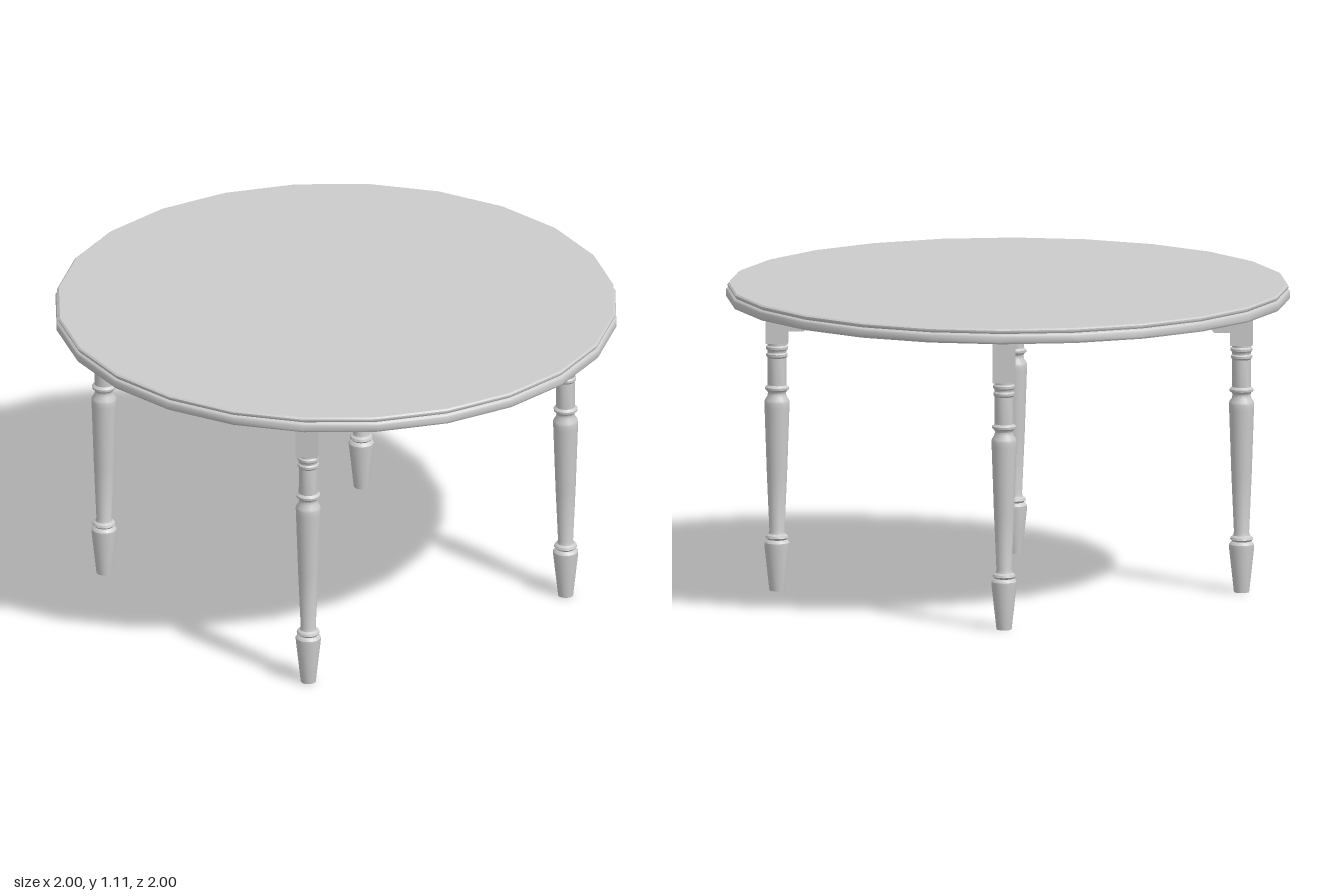
import * as THREE from 'three';
import { toCreasedNormals } from 'three/addons/utils/BufferGeometryUtils.js';

const material = new THREE.MeshStandardMaterial({ color: 0xcccccc });

function mesh(name, geometry) {
  const m = new THREE.Mesh(geometry, material);
  m.name = name;
  return m;
}

// Turned part from [radius, height] pairs, bottom to top
function turned(name, profile, sides) {
  const points = profile.map(([r, y]) => new THREE.Vector2(r, y));
  return mesh(name, toCreasedNormals(new THREE.LatheGeometry(points, sides), 0.6));
}

const TOP_Y = 1.052;      // underside of the table top
const LEG_RADIUS = 0.823; // distance of each leg from the centre
const BLOCK = 0.08;       // square block at the head of the leg
const RAIL = 0.072;       // rail thickness
const RAIL_Y = 1.008;     // underside of the rails

const legProfile = [
  [0, 0], [0.027, 0], [0.045, 0.163], [0.045, 0.172], [0.039, 0.18],
  [0.034, 0.183], [0.041, 0.19], [0.039, 0.198], [0.03, 0.204], [0.027, 0.215],
  [0.036, 0.42], [0.044, 0.655], [0.045, 0.675], [0.043, 0.685],
  [0.034, 0.698], [0.032, 0.71], [0.035, 0.717], [0.042, 0.722], [0.043, 0.73],
  [0.034, 0.738], [0.033, 0.836], [0.038, 0.842], [0.038, 0.85], [0.033, 0.855],
  [0.034, 0.862], [0.039, 0.868], [0.039, 0.876], [0.034, 0.881], [0.034, 0.892],
];

// Rail with a chamfered bracket where it meets the leg block
function rail() {
  const end = LEG_RADIUS - BLOCK / 2;
  const shape = new THREE.Shape([
    [RAIL / 2, TOP_Y], [RAIL / 2, RAIL_Y], [0.655, RAIL_Y], [0.68, 0.995],
    [0.727, 0.935], [end, 0.935], [end, TOP_Y],
  ].map(([r, y]) => new THREE.Vector2(r, y)));
  const geometry = new THREE.ExtrudeGeometry(shape, { depth: RAIL, bevelEnabled: false });
  return mesh('rail', geometry.translate(0, 0, -RAIL / 2));
}

export function createModel() {
  const table = new THREE.Group();
  table.name = 'roundTable';

  // Top with a stepped edge
  table.add(turned('tableTop', [
    [0, TOP_Y], [0.996, TOP_Y], [1, 1.058], [1, 1.078], [0.997, 1.084],
    [0.99, 1.088], [0.994, 1.094], [0.994, 1.1], [0.988, 1.105], [0, 1.105],
  ], 24));

  // Crossed underframe, turned 30 degrees
  const frame = new THREE.Group();
  frame.name = 'underframe';
  frame.position.set(-0.004, 0, 0.002);
  frame.rotation.y = Math.PI / 6;
  table.add(frame);

  const hub = mesh('railCrossing', new THREE.BoxGeometry(RAIL, TOP_Y - RAIL_Y, RAIL));
  hub.position.y = (TOP_Y + RAIL_Y) / 2;
  frame.add(hub);

  // Four legs, each with its block and rail
  for (let i = 0; i < 4; i++) {
    const arm = new THREE.Group();
    arm.name = 'legAssembly';
    arm.rotation.y = i * Math.PI / 2;

    const leg = turned('leg', legProfile, 16);
    leg.position.x = LEG_RADIUS;

    const block = mesh('legBlock', new THREE.BoxGeometry(BLOCK, TOP_Y - 0.89, BLOCK));
    block.position.set(LEG_RADIUS, (TOP_Y + 0.89) / 2, 0);

    arm.add(leg, block, rail());
    frame.add(arm);
  }
  return table;
}
